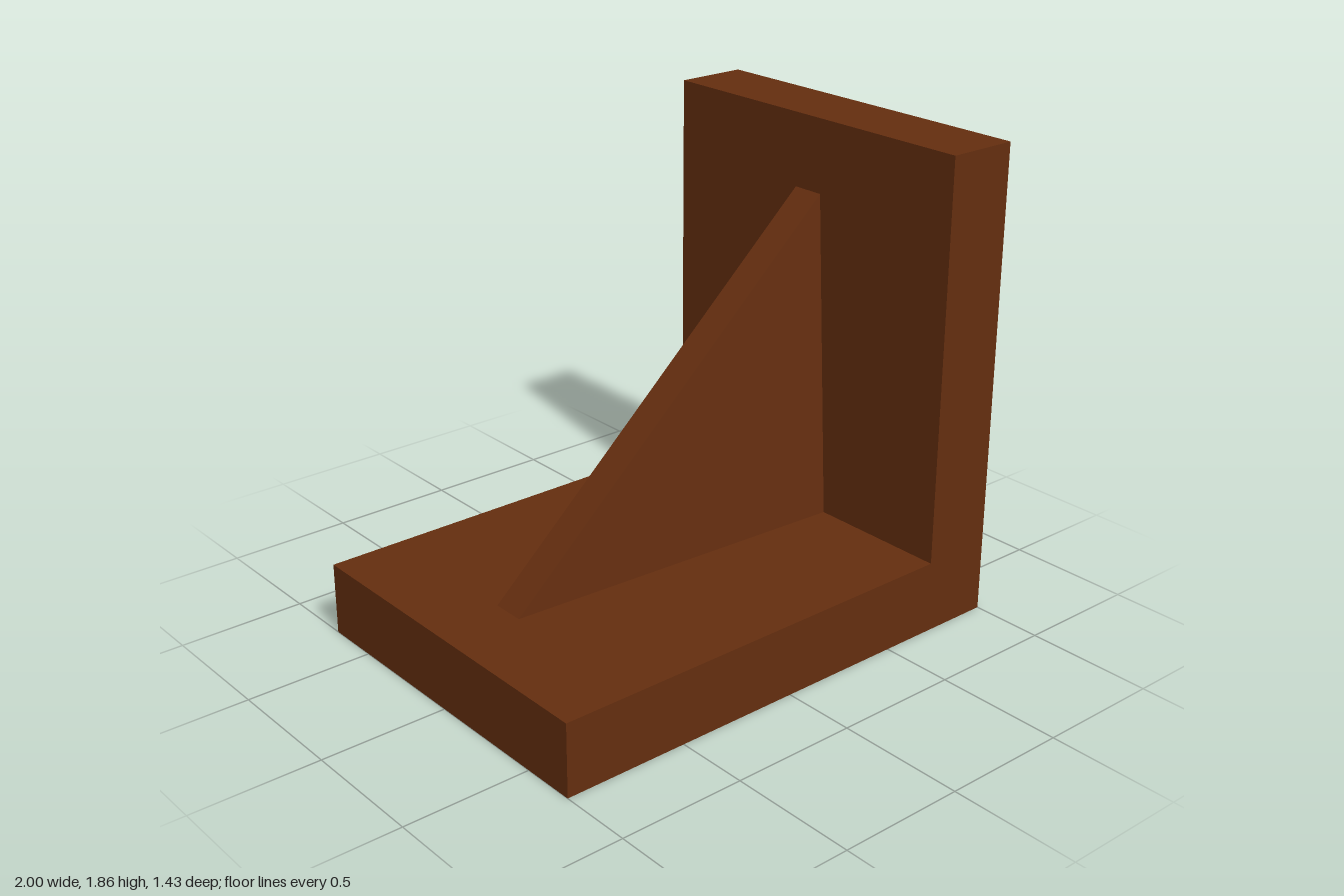
import * as THREE from 'three';
import { ConvexGeometry } from 'three/addons/geometries/ConvexGeometry.js';

export function createModel() {
  const group = new THREE.Group();
  const brown = new THREE.MeshStandardMaterial({ color: 0x652e0f });
  brown.name = 'brown';

  const depth = 1.428; // z extent of the bracket
  const inner = 0.714; // inner face of the wall, and toe of the rib
  const floor = 0.286; // top of the base plate

  // L-shaped bracket: base plate and upright wall in one piece
  const profile = new THREE.Shape([
    [-1, 0], [1, 0], [1, 1.857], [inner, 1.857], [inner, floor], [-1, floor],
  ].map(([x, y]) => new THREE.Vector2(x, y)));
  const bracketGeometry = new THREE.ExtrudeGeometry(profile, { depth, bevelEnabled: false });
  bracketGeometry.translate(0, 0, -depth / 2);
  const bracket = new THREE.Mesh(bracketGeometry, brown);
  bracket.name = 'bracket';
  group.add(bracket);

  // Triangular rib, thicker at the inner corner than along its sloping edge
  const corners = [];
  for (const side of [-1, 1]) {
    corners.push(
      new THREE.Vector3(-inner, floor, side * 0.065),
      new THREE.Vector3(inner, floor, side * 0.143),
      new THREE.Vector3(inner, 1.571, side * 0.065),
    );
  }
  const rib = new THREE.Mesh(new ConvexGeometry(corners), brown);
  rib.name = 'supportRib';
  group.add(rib);

  return group;
}
